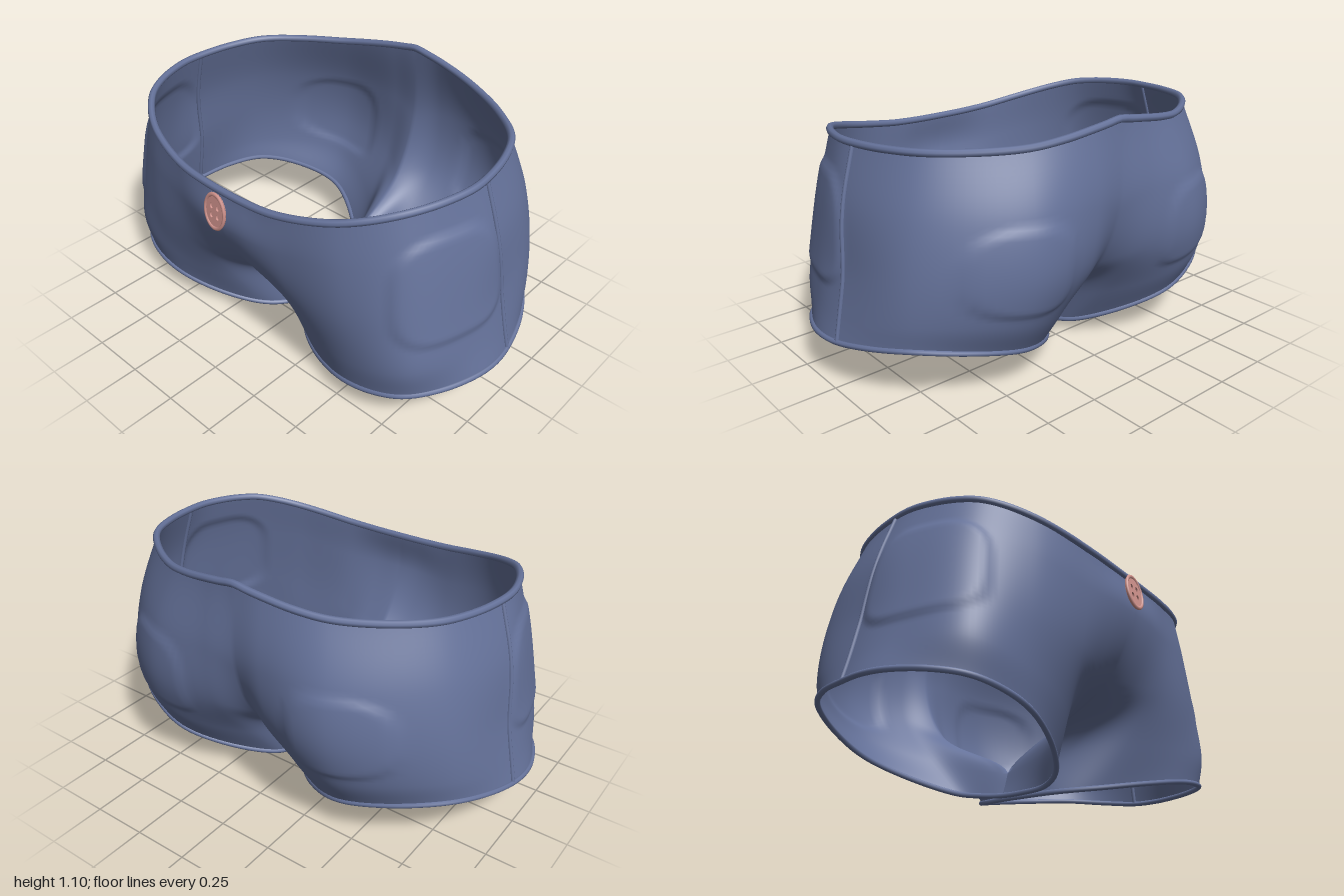
import * as THREE from 'three';
import { mergeVertices } from 'three/addons/utils/BufferGeometryUtils.js';

const NU = 120, NV = 48;

// Cross-sections from centre front, round the side, to centre back:
// hip, mid, low and hem points as [x, y, z]
const sections = [
  [[0, .7, .64], [0, .43, .49], [0, .14, -.06], [.025, .03, -.07]],
  [[.13, .7, .635], [.12, .42, .515], [.06, .17, .2], [.04, .015, .16]],
  [[.29, .7, .61], [.28, .45, .56], [.21, .21, .43], [.16, .03, .33]],
  [[.56, .74, .555], [.58, .48, .555], [.56, .26, .53], [.53, .115, .5]],
  [[.77, .77, .42], [.81, .5, .45], [.83, .31, .465], [.81, .17, .45]],
  [[.87, .77, .2], [.915, .5, .21], [.95, .32, .2], [.975, .205, .2]],
  [[.895, .77, .015], [.93, .5, -.01], [.965, .32, -.015], [.987, .22, -.02]],
  [[.8, .78, -.34], [.84, .55, -.36], [.85, .37, -.36], [.84, .265, -.35]],
  [[.45, .77, -.615], [.47, .54, -.635], [.46, .34, -.59], [.44, .195, -.515]],
  [[.145, .77, -.635], [.15, .49, -.6], [.12, .25, -.43], [.09, .065, -.28]],
  [[0, .72, -.61], [0, .42, -.48], [0, .14, -.06], [.025, .03, -.07]],
];

// Waist edge above a hip point: a rounded oval, dipped in front and peaked at the back
function waistPoint([hx, , hz]) {
  const angle = Math.atan2(hx / .87, hz / .65), s = Math.sin(angle), c = Math.cos(angle);
  const n = c > 0 ? 2.6 : 2.1;
  const r = (Math.abs(s) ** n + Math.abs(c) ** n) ** (-1 / n);
  const x = .825 * s * r, z = .015 + .61 * c * r;
  const dip = .115 * Math.max(0, (z - .2) / .425) ** 3;
  const peak = z < 0 ? .055 * Math.exp(-((x / .17) ** 4)) : 0;
  return new THREE.Vector3(x, 1.012 - .04 * z - dip + peak, z);
}

// Raised, round-cornered pocket areas: centre and half size in section units
const pockets = [
  { u: 4.85, v: 1.47, hu: 1.15, hv: .95, lift: .012 },
  { u: 8, v: 1.9, hu: .6, hv: .85, lift: .01 },
];

function pocketLift(u, v) {
  let lift = 0;
  for (const p of pockets) {
    const d = Math.abs((u - p.u) / p.hu) ** 3 + Math.abs((v - p.v) / p.hv) ** 3;
    lift += p.lift * (1 - THREE.MathUtils.smoothstep(d, .6, 1.15));
  }
  return lift;
}

// Smooth grid of points for the wearer's left half
function halfGrid() {
  const curves = sections.map(s => new THREE.CatmullRomCurve3(
    [waistPoint(s[0]), ...s.map(p => new THREE.Vector3(...p))]));
  const base = [];
  for (let j = 0; j <= NV; j++) {
    const ring = new THREE.CatmullRomCurve3(curves.map(c => c.getPoint(j / NV)));
    const row = [];
    for (let i = 0; i <= NU; i++) {
      const p = ring.getPoint(i / NU);
      p.x = Math.max(0, p.x);
      row.push(p);
    }
    base.push(row);
  }
  return base.map((row, j) => row.map((p, i) => {
    const lift = pocketLift(i / NU * 10, j / NV * 4);
    if (lift < 1e-5) return p.clone();
    const du = row[i + 1].clone().sub(row[i - 1]);
    const dv = base[j + 1][i].clone().sub(base[j - 1][i]);
    return p.clone().addScaledVector(dv.cross(du).normalize(), lift);
  }));
}

// Both halves welded along the centre seam
function bodyGeometry(grid) {
  const pos = [], idx = [], w = NU + 1;
  for (const side of [1, -1]) {
    const start = pos.length / 3;
    for (const row of grid) for (const p of row) pos.push(p.x * side, p.y, p.z);
    for (let j = 0; j < NV; j++) for (let i = 0; i < NU; i++) {
      const a = start + j * w + i, b = a + 1, c = a + w, d = c + 1;
      if (side > 0) idx.push(a, c, b, b, c, d);
      else idx.push(a, b, c, b, d, c);
    }
  }
  const g = new THREE.BufferGeometry();
  g.setAttribute('position', new THREE.Float32BufferAttribute(pos, 3));
  g.setIndex(idx);
  const welded = mergeVertices(g, 1e-4);
  welded.computeVertexNormals();
  return welded;
}

const mirror = p => new THREE.Vector3(-p.x, p.y, p.z);

function roll(points, radius, closed) {
  return new THREE.TubeGeometry(new THREE.CatmullRomCurve3(points, closed), closed ? 160 : 40, radius, 8, closed);
}

// Oval button with four sunken thread holes and a raised rim
function makeButton(material) {
  const button = new THREE.Group();
  button.name = 'button';
  const add = (name, geometry) => {
    const mesh = new THREE.Mesh(geometry, material);
    mesh.name = name;
    button.add(mesh);
    return mesh;
  };
  const shape = new THREE.Shape().absellipse(0, 0, .06, .081, 0, Math.PI * 2);
  for (const x of [-1, 1]) for (const y of [-1, 1]) {
    shape.holes.push(new THREE.Path().absellipse(x * .018, y * .021, .009, .013, 0, Math.PI * 2));
  }
  add('buttonDisc', new THREE.ExtrudeGeometry(shape, { depth: .01, bevelEnabled: false, curveSegments: 24 }));
  const back = add('buttonBack', new THREE.CircleGeometry(.04, 24));
  back.position.z = .002;
  const rim = add('buttonRim', new THREE.TorusGeometry(.055, .007, 8, 40));
  rim.scale.set(1.02, 1.4, 1);
  rim.position.z = .008;
  button.position.set(-.02, .785, .652);
  button.rotation.x = -.1;
  return button;
}

export function createModel() {
  const model = new THREE.Group();
  model.name = 'shorts';
  const denim = new THREE.MeshStandardMaterial({ color: 0x65729a, side: THREE.DoubleSide });
  denim.name = 'blueFabric';
  const pink = new THREE.MeshStandardMaterial({ color: 0xd0938d });
  pink.name = 'pinkButton';
  const add = (name, geometry) => {
    const mesh = new THREE.Mesh(geometry, denim);
    mesh.name = name;
    model.add(mesh);
  };

  const grid = halfGrid();
  add('shortsBody', bodyGeometry(grid));

  // Rolled waist edge
  const waist = grid[0].filter((p, i) => i % 6 === 0);
  add('waistBand', roll([...waist, ...waist.slice(1, -1).reverse().map(mirror)], .016, true));

  // Rolled leg hems and side seams
  const hem = grid[NV].filter((p, i) => i % 6 === 0).slice(0, -1);
  const seam = grid.filter((row, j) => j % 4 === 0).map(row => row[72]);
  for (const [side, place] of [['left', p => p], ['right', mirror]]) {
    add(side + 'LegHem', roll(hem.map(place), .012, true));
    add(side + 'SideSeam', roll(seam.map(place), .01, false));
  }

  model.add(makeButton(pink));
  return model;
}
